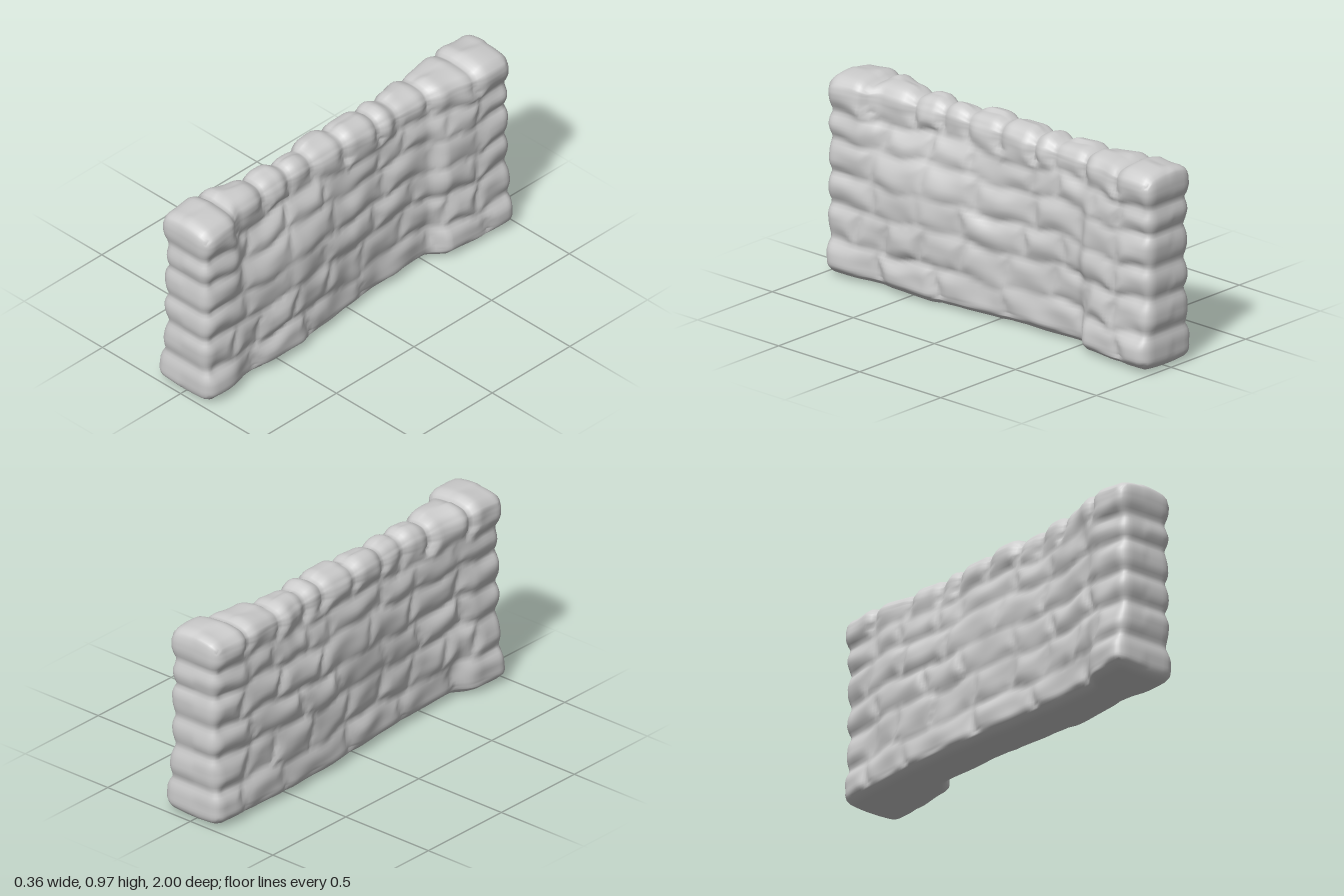
import * as THREE from 'three';
import { mergeVertices } from 'three/addons/utils/BufferGeometryUtils.js';

// Heights of the bed joints, and the upright joints (z) of each course from the bottom up
const beds = [0.185, 0.355, 0.505, 0.665, 0.795];
const joints = [
  [-0.8, -0.53, -0.06, 0.33, 0.68],
  [-0.78, -0.6, -0.35, -0.08, 0.17, 0.4, 0.62, 0.79],
  [-0.75, -0.4, -0.15, 0.2, 0.45, 0.73],
  [-0.8, -0.55, -0.25, 0.1, 0.4, 0.71],
  [-0.78, -0.6, -0.35, -0.2, 0.18, 0.42, 0.68],
  [-0.77, -0.53, -0.33, -0.21, 0.005, 0.21, 0.36, 0.53, 0.77],
];

// Plan outline of the wall's two faces, near the foot and at the top: [z, x]
const plan = {
  lowPlus: [[-1, 0.16], [-0.8, 0.16], [-0.6, 0.138], [-0.5, 0.09], [-0.2, 0.092], [0, 0.112], [0.2, 0.138], [0.4, 0.16], [0.7, 0.15], [0.82, 0.162], [1, 0.162]],
  topPlus: [[-1, 0.15], [-0.8, 0.145], [-0.62, 0.11], [-0.5, 0.08], [0, 0.075], [0.4, 0.07], [0.7, 0.09], [0.8, 0.155], [1, 0.158]],
  lowMinus: [[-1, -0.155], [-0.8, -0.162], [-0.5, -0.167], [-0.3, -0.16], [0, -0.145], [0.2, -0.125], [0.5, -0.112], [0.7, -0.125], [0.82, -0.156], [1, -0.156]],
  topMinus: [[-1, -0.157], [-0.8, -0.16], [-0.5, -0.145], [-0.4, -0.12], [0, -0.125], [0.4, -0.1], [0.6, -0.115], [0.8, -0.148], [1, -0.148]],
};

// How far the bottom course stands out from each face: [z, amount]
const footPlus = [[-1, 0.012], [-0.6, 0.012], [-0.5, -0.008], [-0.2, 0], [0.2, 0], [0.7, 0], [0.85, 0.014], [1, 0.014]];
const footMinus = [[-1, 0.012], [-0.3, 0.01], [0.1, 0], [0.5, -0.006], [0.68, -0.025], [0.78, 0.008], [1, 0.01]];

// How far the middle courses draw in at the wall's two ends: [z, amount]
const waistPlus = [[-1, 0.014], [-0.8, 0.012], [-0.6, 0], [1, 0]];
const waistMinus = [[-1, 0.008], [-0.8, 0.004], [-0.6, 0], [0.6, 0], [0.8, 0.014], [1, 0.02]];

// Height of the wall's crest: [z, y]
const crest = [[-1, 0.95], [-0.7, 0.946], [-0.45, 0.935], [-0.2, 0.943], [0.1, 0.947], [0.45, 0.945], [0.65, 0.95], [0.83, 0.965], [1, 0.955]];

function lookup(table, t) {
  for (let i = 1; i < table.length; i++) {
    if (t <= table[i][0]) {
      const [a, va] = table[i - 1], [b, vb] = table[i];
      return THREE.MathUtils.lerp(va, vb, THREE.MathUtils.smoothstep(t, a, b));
    }
  }
  return table[table.length - 1][1];
}

const hash = (a, b, c) => {
  const s = Math.sin(a * 12.99 + b * 78.23 + c * 37.7) * 43758.5453;
  return s - Math.floor(s);
};

// Groove strength (0 to 1) and the proud or sunk offset of the stone at a point
function stoneAt(y, z, side) {
  const inner = 1 - THREE.MathUtils.smoothstep(Math.abs(z), 0.75, 0.95);
  const wy = y + inner * (0.013 * Math.sin(9 * z + side * 2) + 0.008 * Math.sin(23 * z + 1));
  const wz = z + 0.02 * Math.sin(17 * y + side) * (y > 0.85 ? 0 : 1);
  let course = 0;
  while (course < beds.length && wy > beds[course]) course++;
  const bedGap = Math.min(...beds.map((b) => Math.abs(wy - b)));
  const cuts = joints[course];
  const jointGap = Math.min(...cuts.map((j) => Math.abs(wz - j)));
  const index = cuts.filter((j) => wz > j).length;
  const dip = (gap, width) => Math.pow(Math.max(0, 1 - gap / width), 1.6);
  // Joints are worn shallow in patches over the middle of the wall
  const worn = 1 - inner * (0.4 + 0.3 * Math.sin(6 * z + 2 * side) * Math.sin(9 * y + z));
  const depth = y > 0.82 ? 1 : worn;
  const groove = Math.max(dip(bedGap, 0.065) * worn, dip(jointGap, 0.06) * 0.85 * depth);
  return { groove, offset: (hash(course, index, side) - 0.5) * 0.014 * inner };
}

function wallGeometry() {
  const box = new THREE.BoxGeometry(1, 1, 2, 14, 56, 124);
  box.deleteAttribute('uv');
  box.deleteAttribute('normal');
  const geometry = mergeVertices(box);
  const pos = geometry.attributes.position;
  const p = new THREE.Vector3(), core = new THREE.Vector3(), n = new THREE.Vector3();
  const { lerp, clamp, smoothstep } = THREE.MathUtils;
  for (let i = 0; i < pos.count; i++) {
    p.fromBufferAttribute(pos, i);
    const side = Math.sign(p.x) || 1;
    const across = p.x * 2;
    const z = p.z * 0.995;
    const top = lookup(crest, z);
    const y = lerp(0.008, top, p.y + 0.5);

    // Battered, slightly twisted thickness
    const k = smoothstep(y, 0.5, 0.88);
    const foot = 1 - smoothstep(y, 0.12, 0.24);
    const middle = smoothstep(y, 0.15, 0.35) * (1 - smoothstep(y, 0.76, 0.82));
    const right = lerp(lookup(plan.lowPlus, z), lookup(plan.topPlus, z), k) + foot * lookup(footPlus, z) - middle * lookup(waistPlus, z);
    const left = lerp(lookup(plan.lowMinus, z), lookup(plan.topMinus, z), k) - foot * lookup(footMinus, z) + middle * lookup(waistMinus, z);
    const half = (right - left) / 2, mid = (right + left) / 2;

    // Round the edges, then press the joints in along the surface direction
    const r = 0.055;
    p.set(across * half, y, z);
    core.set(clamp(p.x, r - half, half - r), clamp(y, 0.008 + r, top - r), clamp(z, r - 0.995, 0.995 - r));
    n.subVectors(p, core).normalize();
    const { groove, offset } = stoneAt(y, z, side);
    const lumps = 0.004 * Math.sin(21 * z + 13 * y + side) + 0.003 * Math.sin(31 * y - 17 * z + 2 * side);
    let push = (offset + lumps) * (1 - groove) - 0.03 * groove;
    if (n.y < -0.5) push *= 0.2;
    if (n.y > 0.5) push += 0.006;
    push *= 1 - 0.45 * Math.abs(n.z);
    p.copy(core).addScaledVector(n, r + push);

    // Crowned top stones and a slightly rounded underside
    p.y += smoothstep(y, 0.82, top) * (0.008 - 0.026 * across * across);
    p.y += (1 - smoothstep(y, 0.008, 0.12)) * 0.014 * across * across;
    pos.setXYZ(i, p.x + mid, Math.max(0, p.y), clamp(p.z, -1, 1));
  }
  geometry.computeVertexNormals();
  return geometry;
}

export function createModel() {
  const group = new THREE.Group();
  group.name = 'stoneWall';
  const wall = new THREE.Mesh(wallGeometry(), new THREE.MeshStandardMaterial({ color: 0xcccccc }));
  wall.name = 'stackedStones';
  group.add(wall);
  return group;
}
